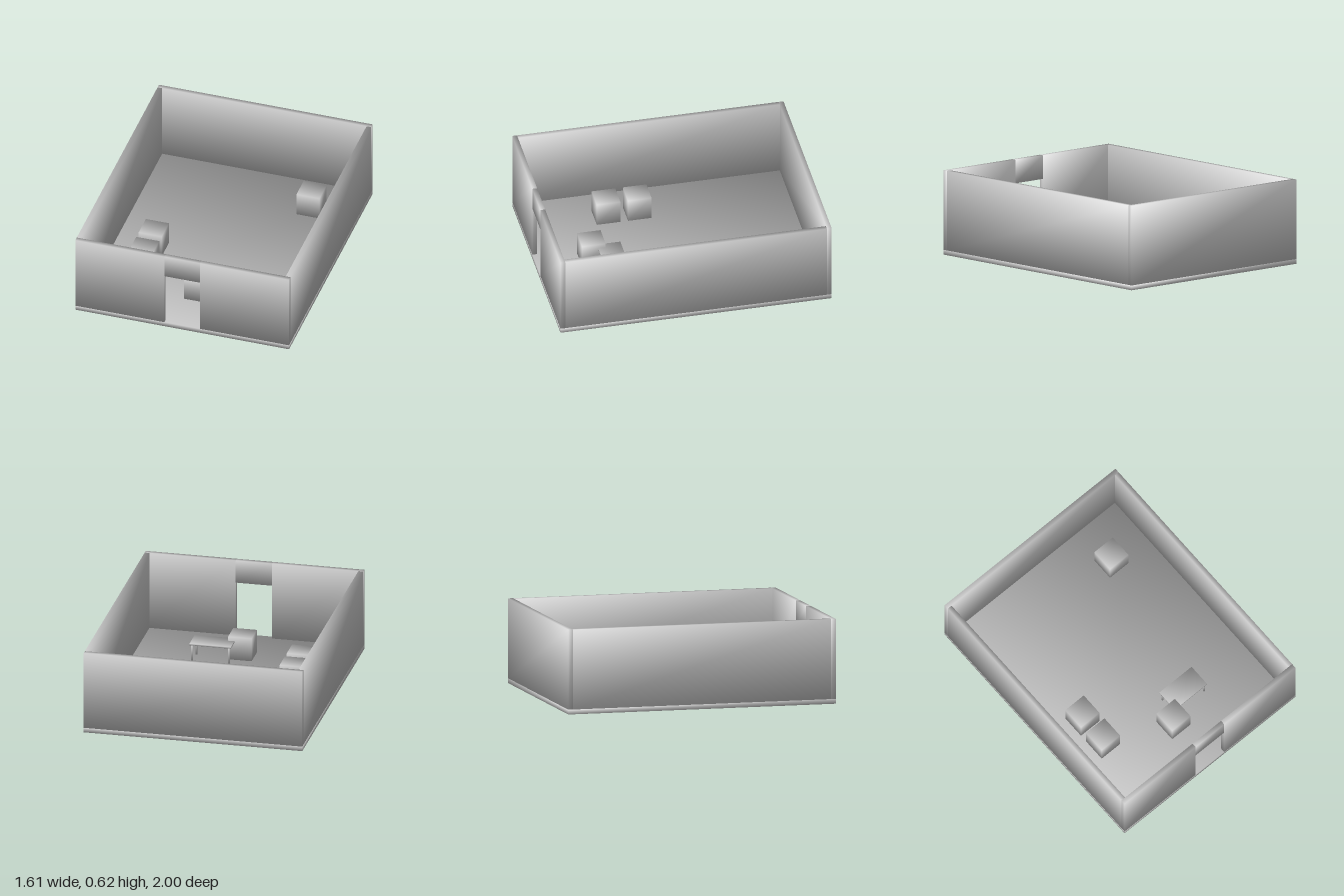
import * as THREE from 'three';

const grey = new THREE.MeshStandardMaterial({ color: 0xcccccc });
grey.name = 'plain grey';

// Box given by its limits, with normals averaged at the corners for soft shading
function softBox(name, [x0, x1], [y0, y1], [z0, z1]) {
  const geometry = new THREE.BoxGeometry(x1 - x0, y1 - y0, z1 - z0);
  const pos = geometry.attributes.position;
  const normal = geometry.attributes.normal;
  const k = 1 / Math.sqrt(3);
  for (let i = 0; i < pos.count; i++) {
    normal.setXYZ(i, Math.sign(pos.getX(i)) * k, Math.sign(pos.getY(i)) * k, Math.sign(pos.getZ(i)) * k);
  }
  const mesh = new THREE.Mesh(geometry, grey);
  mesh.name = name;
  mesh.position.set((x0 + x1) / 2, (y0 + y1) / 2, (z0 + z1) / 2);
  return mesh;
}

export function createModel() {
  const room = new THREE.Group();
  room.name = 'room';

  const W = 0.807, D = 1, H = 0.617; // half width, half depth, height
  const T = 0.035;                   // wall and floor thickness
  const door = 0.135;                // half width of the doorway
  const wallY = [T, H];
  const frontZ = [D - T, D];

  // Floor and closed walls
  room.add(softBox('floor', [-W, W], [0, T], [-D, D]));
  room.add(softBox('backWall', [-W, W], wallY, [-D, -D + T]));
  room.add(softBox('leftWall', [W - T, W], wallY, [-D + T, D - T]));
  room.add(softBox('rightWall', [-W, -W + T], wallY, [-D + T, D - T]));

  // Front wall with a doorway
  room.add(softBox('frontWallLeft', [door, W], wallY, frontZ));
  room.add(softBox('frontWallRight', [-W, -door], wallY, frontZ));
  room.add(softBox('doorLintel', [-door, door], [0.445, H], frontZ));

  // Block seats
  const s = 0.087;
  for (const [x, z] of [[0, 0.595], [-0.483, 0.15], [-0.483, 0.38], [0.46, -0.637]]) {
    room.add(softBox('blockSeat', [x - s, x + s], [T, 0.21], [z - s, z + s]));
  }

  // Table with four thin legs
  const table = new THREE.Group();
  table.name = 'table';
  table.add(softBox('tableTop', [0.04, 0.345], [0.167, 0.179], [0.39, 0.563]));
  const l = 0.006;
  for (const x of [0.056, 0.329]) {
    for (const z of [0.406, 0.547]) {
      table.add(softBox('tableLeg', [x - l, x + l], [T, 0.167], [z - l, z + l]));
    }
  }
  room.add(table);

  return room;
}
